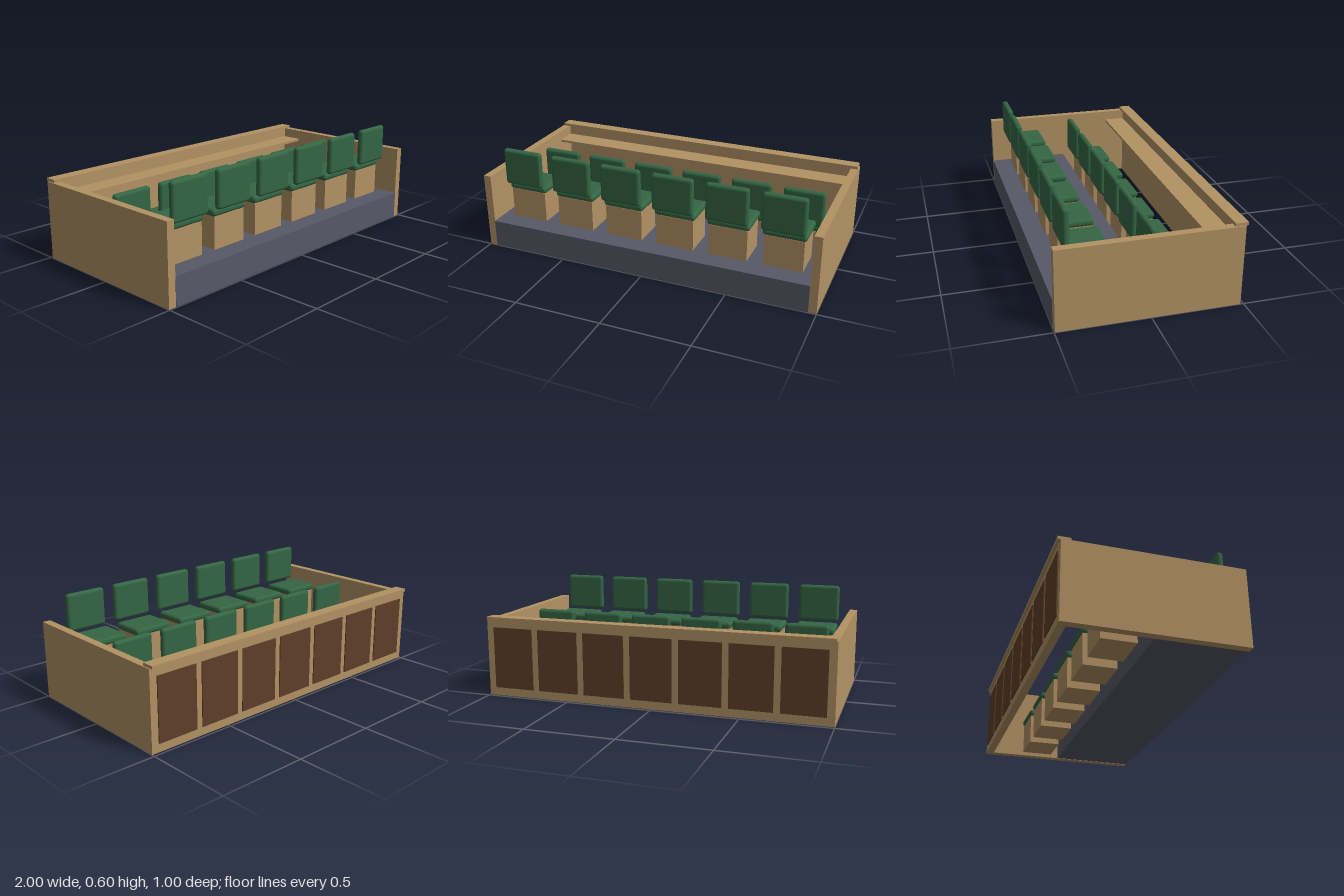
import * as THREE from 'three';
import { RoundedBoxGeometry } from 'three/addons/geometries/RoundedBoxGeometry.js';

const material = (name, color) => {
  const m = new THREE.MeshStandardMaterial({ color });
  m.name = name;
  return m;
};

export function createModel() {
  const wood = material('oak wood', 0xb39264);
  const panelWood = material('dark panel wood', 0x613f2a);
  const carpet = material('grey carpet', 0x575967);
  const fabric = material('green upholstery', 0x346644);

  const model = new THREE.Group();
  model.name = 'seatingBox';

  // Box given by its lower and upper limits on each axis
  function box(name, mat, [x0, x1], [y0, y1], [z0, z1], parent = model, radius = 0) {
    const size = [x1 - x0, y1 - y0, z1 - z0];
    const geometry = radius
      ? new RoundedBoxGeometry(...size, 4, radius)
      : new THREE.BoxGeometry(...size);
    const mesh = new THREE.Mesh(geometry, mat);
    mesh.name = name;
    mesh.position.set((x0 + x1) / 2, (y0 + y1) / 2, (z0 + z1) / 2);
    parent.add(mesh);
    return mesh;
  }

  // Enclosure: raised platform, side walls, back wall with cap rail and shelf
  box('platform', carpet, [-0.955, 0.955], [0.002, 0.16], [0, 0.498]);
  box('leftWall', wood, [0.955, 1], [0, 0.448], [-0.483, 0.496]);
  box('rightWall', wood, [-1, -0.955], [0, 0.448], [-0.483, 0.496]);
  box('backWall', wood, [-0.955, 0.955], [0, 0.448], [-0.483, -0.44]);
  box('capRail', wood, [-0.993, 0.993], [0.448, 0.465], [-0.498, -0.428]);
  box('shelf', wood, [-0.955, 0.955], [0.375, 0.39], [-0.44, -0.313]);

  // Inset panels along the outside of the back wall
  for (let i = -3; i <= 3; i++) {
    const x = i * 0.279;
    box('backPanel', panelWood, [x - 0.121, x + 0.121], [0.048, 0.404], [-0.489, -0.482]);
  }

  // One chair facing the back wall, its backrest at the rear
  function chair(x, y, z) {
    const group = new THREE.Group();
    group.name = 'chair';
    group.position.set(x, y, z);
    box('pedestal', wood, [-0.11, 0.11], [0, 0.182], [-0.095, 0.095], group);
    box('cushion', fabric, [-0.121, 0.121], [0.18, 0.222], [-0.104, 0.102], group, 0.018);
    box('backrest', fabric, [-0.121, 0.121], [0.226, 0.444], [0.102, 0.14], group, 0.018);
    model.add(group);
  }

  // Two rows of six chairs, the second on the platform
  for (let i = 0; i < 6; i++) {
    const x = (i - 2.5) * 0.311;
    chair(x, 0, -0.158);
    chair(x, 0.16, 0.287);
  }
  return model;
}
